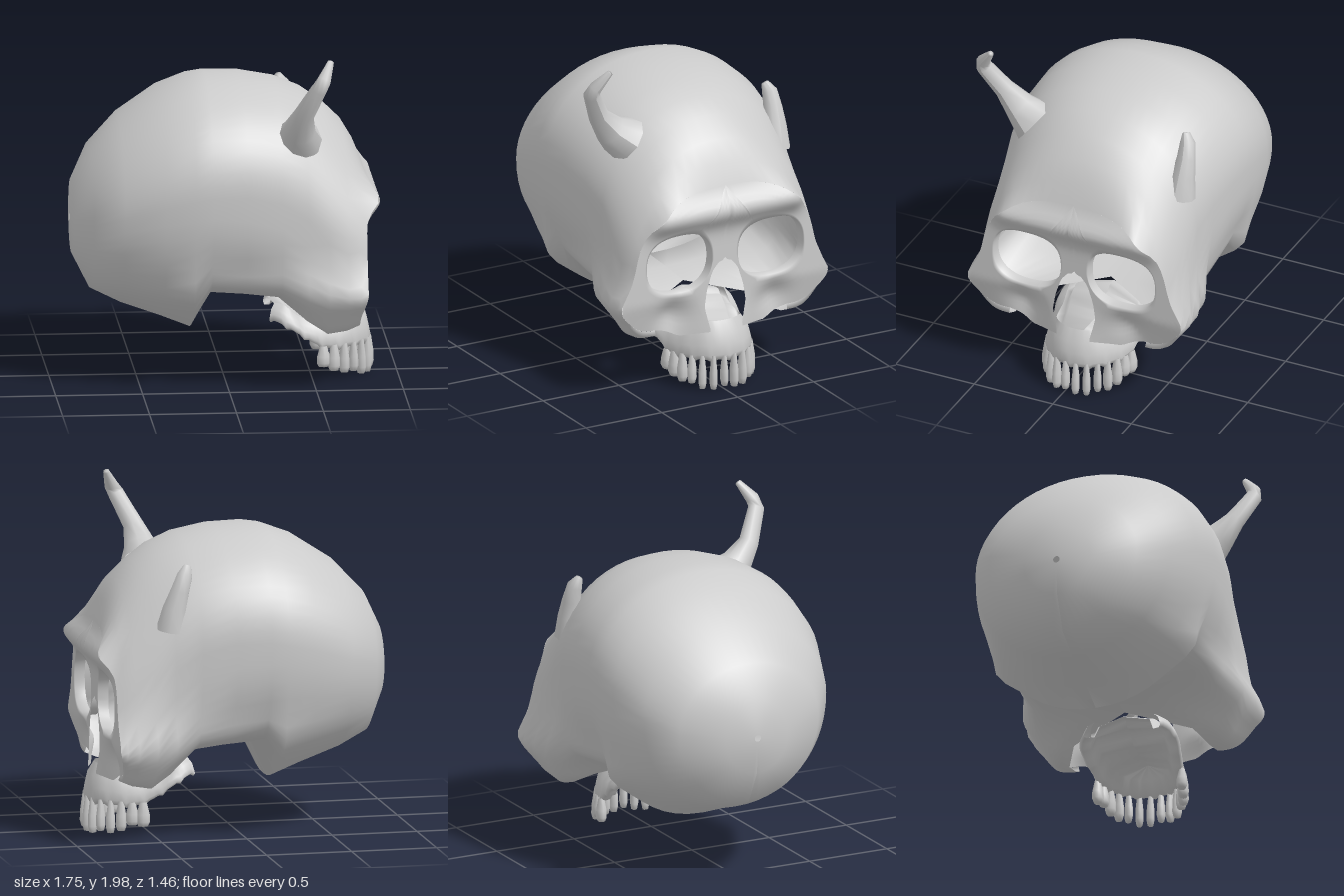
import * as THREE from 'three';

const { smoothstep, lerp, clamp } = THREE.MathUtils;
const bone = new THREE.MeshStandardMaterial({ color: 0xcccccc, side: THREE.DoubleSide });
const bell = (d, s) => Math.exp(-((d / s) ** 2));
const range = (n, f) => Array.from({ length: n + 1 }, (_, i) => f(i / n, i));

// Smooth sheet through rows of [x, y, z] points
function sheet(name, rows) {
  const n = rows[0].length, index = [];
  for (let r = 0; r < rows.length - 1; r++)
    for (let c = 0; c < n - 1; c++) {
      const a = r * n + c, b = a + n;
      index.push(a, b, a + 1, b, b + 1, a + 1);
    }
  const geo = new THREE.BufferGeometry();
  geo.setAttribute('position', new THREE.Float32BufferAttribute(rows.flat(2), 3));
  geo.setIndex(index);
  geo.computeVertexNormals();
  const mesh = new THREE.Mesh(geo, bone);
  mesh.name = name;
  return mesh;
}

// Face relief: how far forward the bone lies at height y, sideways offset w
function depth(w, y) {
  const a = Math.abs(w), low = Math.max(0, 0.6 - y);
  const brow = 0.085 * bell(y - 1.11, 0.09) * (1 - smoothstep(a, 0.42, 0.58));
  const hollow = 0.05 * bell(a - 0.33, 0.1) * bell(y - 0.5, 0.09);
  const upperJaw = 0.4 * low * bell(a, 0.22);
  return 0.79 + brow - hollow - 0.25 * low + upperJaw;
}

// Skull stations: x, top, height of widest point, half width, bottom, gap at bottom, upper / lower roundness
const STATIONS = [
  [-0.88, 0.97, 0.95, 0.02, 0.93, 0, 2, 2],
  [-0.87, 1.17, 0.95, 0.2, 0.74, 0, 2, 2],
  [-0.77, 1.37, 1.0, 0.45, 0.54, 0, 2, 2],
  [-0.6, 1.55, 1.06, 0.59, 0.46, 0, 2, 2.1],
  [-0.37, 1.7, 1.14, 0.67, 0.38, 0, 2.1, 2.2],
  [-0.2, 1.765, 1.18, 0.685, 0.31, 0, 2.1, 2.2],
  [-0.1, 1.78, 1.2, 0.69, 0.53, 0, 2.1, 2.6],
  [0.1, 1.775, 1.2, 0.68, 0.52, 0, 2.1, 2.8],
  [0.3, 1.74, 1.15, 0.65, 0.5, 0, 2.1, 3],
  [0.45, 1.68, 1.05, 0.62, 0.41, 0.36, 2.1, 3.2],
  [0.57, 1.6, 0.9, 0.62, 0.34, 0.43, 2, 3.2],
  [0.68, 1.49, 0.75, 0.62, 0.36, 0.43, 2.1, 3.2],
  [0.75, 1.37, 0.66, 0.61, 0.39, 0.43, 2.3, 3],
  [0.79, 1.25, 0.62, 0.6, 0.42, 0.43, 2.6, 2.6],
];

// Half cross-section from crown to base
function halfSection([x, top, mid, half, bot, gap, n, m], last) {
  const pts = [];
  for (let i = 0; i <= 28; i++) {
    const upper = i <= 14, a = ((upper ? i : i - 14) / 14) * Math.PI / 2;
    const s = Math.max(0, Math.sin(a)), c = Math.max(0, Math.cos(a));
    const y = upper ? mid + (top - mid) * c ** (2 / n) : mid - (mid - bot) * s ** (2 / m);
    let w = upper ? half * s ** (2 / n) : gap + (half - gap) * c ** (2 / m);
    // Cheekbone arch flares out of the side wall
    w += 0.08 * bell(y - 0.6, 0.11) * smoothstep(x, -0.5, -0.05) * smoothstep(w, 0.3, 0.5);
    pts.push([last ? depth(w, y) : x, y, w]);
  }
  return pts;
}

function cranium() {
  const rows = STATIONS.map((s, i) => {
    const h = halfSection(s, i === STATIONS.length - 1);
    return [...h.slice(1).reverse().map(([x, y, w]) => [x, y, -w]), ...h];
  });
  return sheet('cranium', rows);
}

// Half of the face: a sheet spanning from its outline in to the eye socket rim
function halfFace(side) {
  const outline = halfSection(STATIONS[STATIONS.length - 1], true).map(([, y, w]) => [w, y]);
  outline.push([0.36, 0.4], [0.28, 0.36], [0.1, 0.37], [0.135, 0.52], [0.12, 0.62],
    [0.085, 0.73], [0.045, 0.78], [0, 0.795], [0, 1.0], [0, 1.25]);
  const path = new THREE.Path(outline.map(p => new THREE.Vector2(...p)));
  const loop = path.getSpacedPoints(96);
  const cx = 0.3, cy = 0.82;
  const rim = loop.map(p => {
    const a = Math.atan2(p.y - cy, p.x - cx), c = Math.cos(a), s = Math.sin(a);
    const r = (Math.abs(c / 0.215) ** 2.4 + Math.abs(s / 0.18) ** 2.4) ** (-1 / 2.4);
    return [cx + r * c, cy + r * s];
  });
  const rows = range(8, t => loop.map((p, i) => {
    const w = lerp(p.x, rim[i][0], t), y = lerp(p.y, rim[i][1], t);
    return [depth(w, y), y, w * side];
  }));
  // Lip turning into the socket
  rows.push(rim.map(([w, y]) => [0.73, lerp(y, cy, 0.02), lerp(w, cx, 0.02) * side]));
  return sheet(side > 0 ? 'leftFace' : 'rightFace', rows);
}

// Tooth arch in plan
const half = [[0.26, 0.22], [0.36, 0.28], [0.52, 0.26], [0.68, 0.22], [0.79, 0.14], [0.83, 0.06]];
const arch = new THREE.CatmullRomCurve3([
  ...half.map(([x, w]) => new THREE.Vector3(x, 0, -w)),
  ...half.slice().reverse().map(([x, w]) => new THREE.Vector3(x, 0, w)),
]);

function upperJaw() {
  const rows = range(56, (t, i) => {
    const p = arch.getPointAt(t), q = arch.getTangentAt(t);
    const ox = q.z, oz = -q.x;
    const top = lerp(0.46, 0.37, smoothstep(p.x, 0.27, 0.5)) + 0.05 * smoothstep(p.x, 0.6, 0.82);
    const bot = lerp(0.37, 0.2, smoothstep(p.x, 0.25, 0.62)) - 0.015 * (i % 4 === 0);
    const at = (o, y) => [p.x + ox * o, y, p.z + oz * o];
    return [at(-0.05, top), at(-0.01, lerp(top, bot, 0.3)), at(0.005, lerp(top, bot, 0.6)),
      at(0.015, lerp(top, bot, 0.85)), at(0, bot), at(-0.05, bot + 0.01), at(-0.08, bot + 0.08),
      [Math.min(p.x, 0.7), Math.max(0.34, bot + 0.1), 0]];
  });
  return sheet('upperJaw', rows);
}

function teeth() {
  const group = new THREE.Group();
  group.name = 'teeth';
  const profile = [[0.001, -0.17], [0.7, -0.165], [1, -0.13], [0.95, -0.07], [0.6, 0.01], [0.5, 0.03]];
  const geo = new THREE.LatheGeometry(profile.map(p => new THREE.Vector2(...p)), 8);
  for (let i = 0; i < 14; i++) {
    const t = lerp(0.22, 0.78, i / 13), p = arch.getPointAt(t), q = arch.getTangentAt(t);
    const front = smoothstep(p.x, 0.55, 0.82);
    const tooth = new THREE.Mesh(geo, bone);
    tooth.name = 'tooth';
    tooth.scale.set(0.032, lerp(0.72, 1.05, front) - 0.1 * (i % 3 === 1), lerp(0.04, 0.024, front));
    tooth.position.set(p.x + q.z * 0.003, 0.2, p.z - q.x * 0.003);
    tooth.rotation.y = Math.atan2(q.x, q.z);
    group.add(tooth);
  }
  return group;
}

// Bent horn: rings of varying radius along a path of [x, y, z, radius]
function horn(name, path) {
  const pts = path.map(p => new THREE.Vector3(p[0], p[1], p[2]));
  const rows = pts.map((p, i) => {
    const dir = pts[Math.min(i + 1, pts.length - 1)].clone().sub(pts[Math.max(i - 1, 0)]).normalize();
    const u = new THREE.Vector3(1, 0, 0).addScaledVector(dir, -dir.x).normalize();
    const v = dir.clone().cross(u);
    return range(10, t => p.clone().addScaledVector(u, path[i][3] * Math.cos(t * 2 * Math.PI))
      .addScaledVector(v, path[i][3] * Math.sin(t * 2 * Math.PI)).toArray());
  });
  rows.push(rows[0].map(() => pts[pts.length - 1].toArray()));
  return sheet(name, rows);
}

export function createModel() {
  const model = new THREE.Group();
  model.name = 'hornedSkull';
  const skull = new THREE.Group();
  skull.name = 'skull';
  skull.position.z = -0.035;
  skull.add(cranium(), halfFace(1), halfFace(-1), upperJaw(), teeth());
  model.add(skull);
  model.add(horn('leftHorn', [[0.4, 1.48, 0.4, 0.14], [0.4, 1.56, 0.5, 0.095], [0.42, 1.67, 0.59, 0.06],
    [0.5, 1.84, 0.68, 0.048], [0.53, 1.89, 0.67, 0.04], [0.575, 1.985, 0.6, 0.018]]));
  model.add(horn('rightHorn', [[0.46, 1.27, -0.55, 0.09], [0.44, 1.4, -0.56, 0.07], [0.41, 1.5, -0.565, 0.055],
    [0.38, 1.59, -0.56, 0.045], [0.36, 1.64, -0.54, 0.022]]));
  return model;
}
